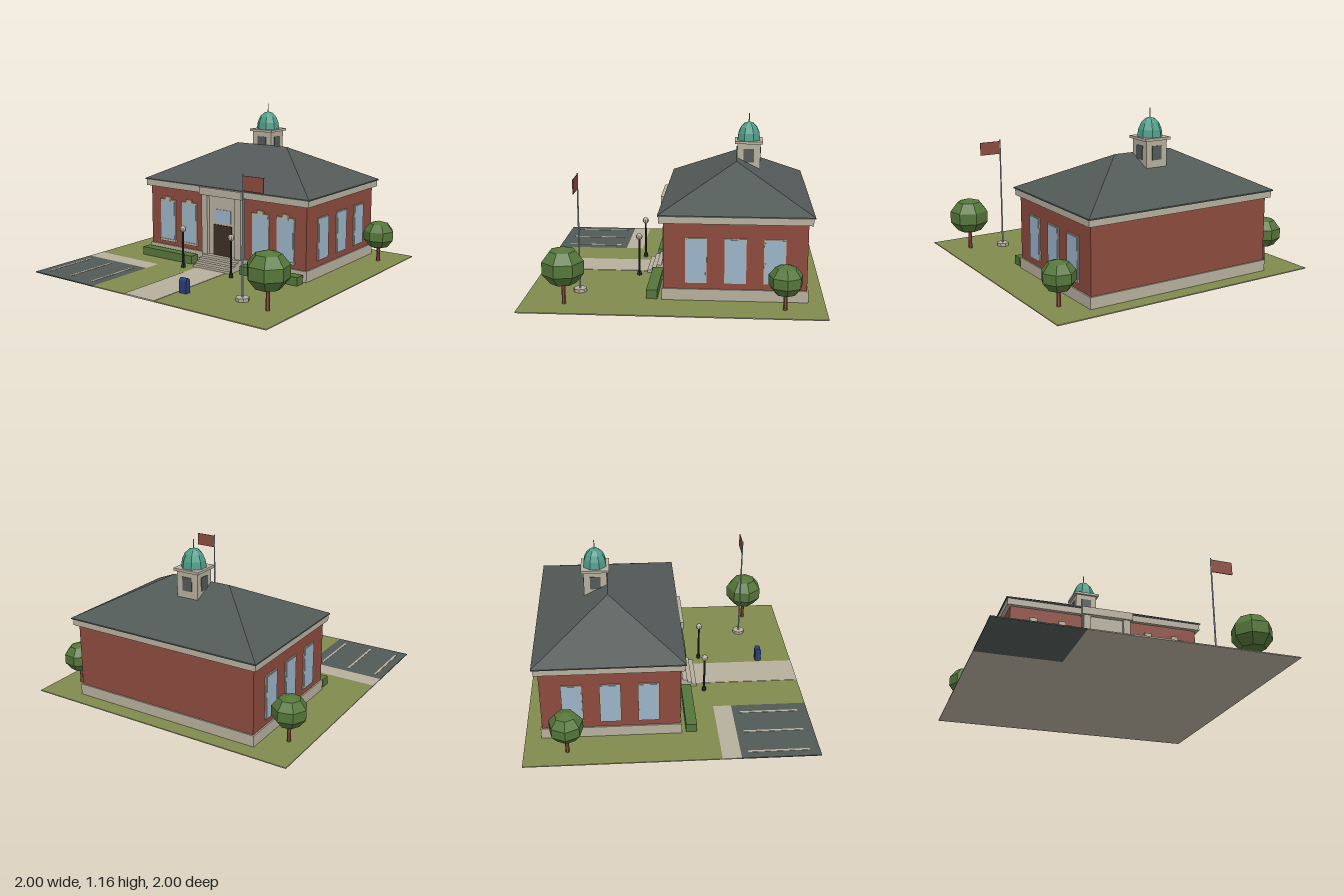
import * as THREE from 'three';
import { ConvexGeometry } from 'three/addons/geometries/ConvexGeometry.js';

const paint = (name, color) => {
  const m = new THREE.MeshStandardMaterial({ color });
  m.name = name;
  m.flatShading = true;
  return m;
};

export function createModel() {
  const brick = paint('brick', 0x8d4b3e), stone = paint('stone', 0xb7b09e);
  const slate = paint('slate', 0x525a58), grass = paint('grass', 0x818c4e);
  const glass = paint('glass', 0x9bb4c8), wood = paint('dark wood', 0x3f2d27);
  const copper = paint('aged copper', 0x4f9d89), navy = paint('navy', 0x2a3e78);
  const leaf = paint('leaf', 0x55763a), iron = paint('iron', 0x2e2f30);

  const model = new THREE.Group();
  model.name = 'civicBuilding';

  const add = (parent, name, geometry, material, x = 0, y = 0, z = 0) => {
    const mesh = new THREE.Mesh(geometry, material);
    mesh.name = name;
    mesh.position.set(x, y, z);
    parent.add(mesh);
    return mesh;
  };
  // Box given by its lower and upper bounds on each axis
  const box = (parent, name, mat, x0, x1, y0, y1, z0, z1) =>
    add(parent, name, new THREE.BoxGeometry(x1 - x0, y1 - y0, z1 - z0), mat,
      (x0 + x1) / 2, (y0 + y1) / 2, (z0 + z1) / 2);
  // Upright cylinder standing on y0
  const post = (parent, name, mat, r0, r1, y0, y1, x = 0, z = 0, sides = 8) =>
    add(parent, name, new THREE.CylinderGeometry(r1, r0, y1 - y0, sides), mat, x, (y0 + y1) / 2, z);
  const group = (name, x = 0, y = 0, z = 0) => {
    const g = new THREE.Group();
    g.name = name;
    g.position.set(x, y, z);
    model.add(g);
    return g;
  };

  // Ground: grass on top of a stone slab, with a paved corner
  const G = 0.007;
  const lawn = [stone, stone, grass, stone, stone, stone];
  box(model, 'lawn', lawn, -0.42, 1, 0, G, -1, 1);
  box(model, 'sideLawn', lawn, -1, -0.42, 0, G, -1, 0.33);
  box(model, 'sidewalk', stone, -1, -0.42, 0, G, 0.33, 0.46);
  box(model, 'parkingLot', slate, -1, -0.42, 0, G, 0.46, 1);
  for (const x of [-0.935, -0.72, -0.503])
    box(model, 'parkingLine', stone, x - 0.008, x + 0.008, G, G + 0.002, 0.51, 0.93);
  box(model, 'frontWalk', stone, -0.13, 0.13, G, G + 0.003, 0.2, 1);

  // Main block
  box(model, 'foundation', stone, -0.71, 0.71, G, 0.085, -0.89, 0.08);
  box(model, 'walls', brick, -0.7, 0.7, 0.085, 0.54, -0.88, 0.07);
  box(model, 'cornice', stone, -0.727, 0.727, 0.537, 0.585, -0.908, 0.098);

  // Hipped roof
  const roof = [];
  for (const sx of [-1, 1]) {
    roof.push(new THREE.Vector3(sx * 0.225, 0.855, -0.405));
    for (const z of [-0.92, 0.105])
      for (const y of [0.583, 0.592]) roof.push(new THREE.Vector3(sx * 0.735, y, z));
  }
  add(model, 'roof', new ConvexGeometry(roof), slate);

  // Tall windows, built facing +z and turned to each wall
  const addWindow = (x, z, turn, keystone) => {
    const w = group('window', x, 0, z);
    w.rotation.y = turn;
    box(w, 'windowFrame', stone, -0.072, 0.072, 0.128, 0.435, -0.01, 0.008);
    box(w, 'windowPane', glass, -0.063, 0.063, 0.136, 0.428, 0.006, 0.011);
    if (!keystone) return;
    box(w, 'windowSill', stone, -0.077, 0.077, 0.115, 0.133, -0.01, 0.014);
    box(w, 'windowLintel', stone, -0.072, 0.072, 0.428, 0.443, -0.01, 0.012);
    box(w, 'keystone', stone, -0.026, 0.026, 0.428, 0.465, -0.01, 0.014);
  };
  for (const s of [-1, 1]) {
    for (const x of [0.323, 0.533]) addWindow(s * x, 0.07, 0, true);
    for (const z of [-0.147, -0.407, -0.665]) addWindow(s * 0.7, z, s * Math.PI / 2, false);
  }

  // Entrance bay
  const entrance = group('entrance');
  box(entrance, 'entrancePanel', stone, -0.18, 0.18, 0.085, 0.54, 0.06, 0.09);
  box(entrance, 'entablature', stone, -0.19, 0.19, 0.53, 0.587, 0.06, 0.128);
  for (const s of [-1, 1])
    box(entrance, 'pilaster', stone, s * 0.15 - 0.026, s * 0.15 + 0.026, 0.085, 0.53, 0.08, 0.115);
  box(entrance, 'door', wood, -0.082, 0.082, 0.085, 0.315, 0.088, 0.096);
  box(entrance, 'transom', glass, -0.073, 0.073, 0.333, 0.43, 0.088, 0.096);
  for (let i = 0; i < 4; i++)
    box(entrance, 'step', stone, -0.165, 0.165, G + i * 0.0195, G + (i + 1) * 0.0195,
      0.07, 0.232 - i * 0.034);

  // Cupola
  const cupola = group('cupola', 0, 0, -0.49);
  box(cupola, 'cupolaBase', stone, -0.082, 0.082, 0.74, 0.955, -0.082, 0.082);
  box(cupola, 'cupolaCap', stone, -0.099, 0.099, 0.953, 0.971, -0.099, 0.099);
  for (let i = 0; i < 4; i++) {
    const side = new THREE.Group();
    side.name = 'cupolaSide';
    side.rotation.y = i * Math.PI / 2;
    cupola.add(side);
    box(side, 'cupolaWindow', slate, -0.037, 0.037, 0.82, 0.916, 0.08, 0.086);
  }
  const dome = add(cupola, 'dome',
    new THREE.SphereGeometry(0.087, 8, 4, 0, Math.PI * 2, 0, Math.PI / 2), copper, 0, 0.971, 0);
  dome.scale.y = 1.5;
  dome.rotation.y = Math.PI / 8;
  post(cupola, 'finial', stone, 0.004, 0.003, 1.09, 1.162, 0, 0, 6);

  // Hedges and lamp posts on both sides of the walk
  for (const s of [-1, 1]) {
    box(model, 'hedge', leaf, s * 0.46 - 0.24, s * 0.46 + 0.24, G, 0.068, 0.11, 0.185);
    const lamp = group('lampPost', s * 0.217, 0, 0.283);
    post(lamp, 'lampBase', iron, 0.016, 0.014, G, 0.035);
    post(lamp, 'lampPole', iron, 0.008, 0.007, 0.035, 0.28);
    add(lamp, 'lampGlobe', new THREE.SphereGeometry(0.024, 8, 6), stone, 0, 0.295, 0);
  }

  // Flagpole
  const flagpole = group('flagpole', 0.58, 0, 0.65);
  post(flagpole, 'flagpoleBase', stone, 0.046, 0.046, G, 0.03);
  post(flagpole, 'pole', glass, 0.006, 0.005, 0.03, 0.832, 0, 0, 6);
  box(flagpole, 'flag', brick, 0.004, 0.16, 0.726, 0.822, -0.003, 0.003);

  // Mailbox with a rounded top
  const mailbox = group('mailbox', 0.177, 0, 0.745);
  box(mailbox, 'mailboxBody', navy, -0.029, 0.029, G, 0.088, -0.022, 0.022);
  const hood = add(mailbox, 'mailboxTop',
    new THREE.CylinderGeometry(0.022, 0.022, 0.058, 12), navy, 0, 0.088, 0);
  hood.rotation.z = Math.PI / 2;

  // Faceted trees: x, z, crown radius, crown height centre, turn
  for (const [x, z, r, y, turn] of [
    [0.82, 0.715, 0.148, 0.262, 0.2],
    [0.845, -0.732, 0.118, 0.207, 0.5],
    [-0.862, -0.705, 0.123, 0.222, 0.9],
  ]) {
    const tree = group('tree', x, 0, z);
    post(tree, 'trunk', brick, 0.014, 0.011, G, y, 0, 0, 6);
    const crown = add(tree, 'crown', new THREE.SphereGeometry(r, 7, 5), leaf, 0, y, 0);
    crown.scale.y = 0.91;
    crown.rotation.y = turn;
  }

  return model;
}
